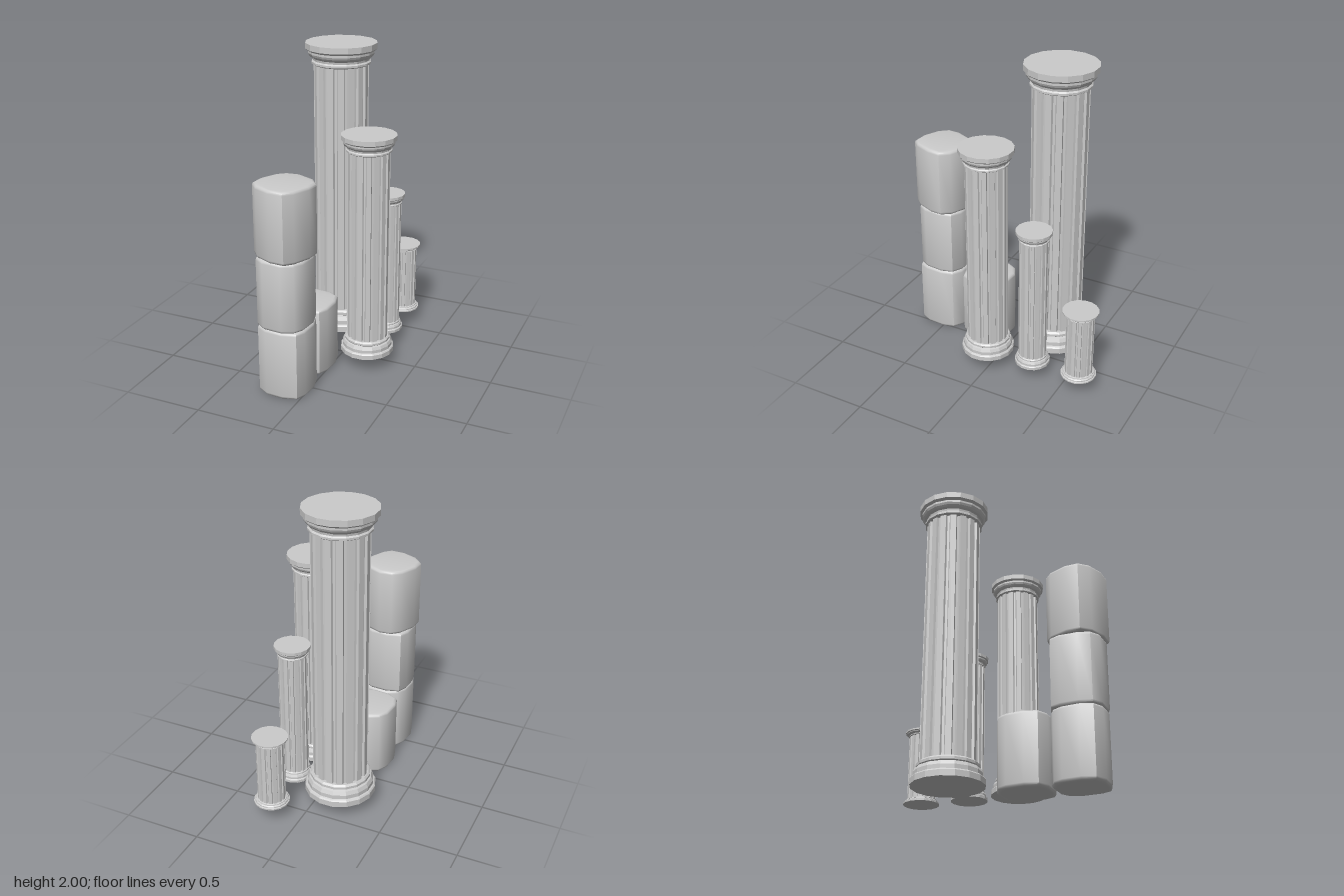
import * as THREE from 'three';
import { toCreasedNormals } from 'three/addons/utils/BufferGeometryUtils.js';

const SIDES = 16;
const grey = () => new THREE.MeshStandardMaterial({ color: 0xcccccc });
const faceted = () => new THREE.MeshStandardMaterial({ color: 0xcccccc, flatShading: true });

// Moulding profiles: [radius fraction, height fraction], bottom to top
const BASE = [[0, 0], [1, 0], [1, 0.27], [0.97, 0.33], [0.93, 0.36], [0.93, 0.55], [0.88, 0.72],
  [0.82, 0.76], [0.85, 0.8], [0.85, 0.92], [0.8, 1], [0, 1]];
const CAPITAL = [[0, 0], [0.78, 0], [0.83, 0.05], [0.83, 0.14], [0.79, 0.2], [0.8, 0.3], [0.86, 0.36],
  [0.9, 0.44], [0.93, 0.54], [0.93, 0.64], [0.97, 0.69], [1, 0.73], [1, 1], [0, 1]];

function moulding(name, profile, radius, height, y) {
  const r = radius / Math.cos(Math.PI / SIDES);
  const pts = profile.map(([a, b]) => new THREE.Vector2(a * r, b * height));
  const geo = new THREE.LatheGeometry(pts, SIDES, Math.PI / SIDES);
  const mesh = new THREE.Mesh(geo, faceted());
  mesh.name = name;
  mesh.position.y = y;
  return mesh;
}

// Shaft with flat ridges and sunken flutes
function flutedShaft(radius, height, y) {
  const pts = [];
  const step = (Math.PI * 2) / SIDES;
  for (let i = 0; i < SIDES; i++) {
    for (const [t, k] of [[-0.28, 1], [0.28, 1], [0.38, 0.92], [0.62, 0.92]]) {
      const a = (i + t) * step;
      pts.push(new THREE.Vector2(Math.cos(a) * radius * k, Math.sin(a) * radius * k));
    }
  }
  const geo = new THREE.ExtrudeGeometry(new THREE.Shape(pts), { depth: height, bevelEnabled: false });
  geo.rotateX(-Math.PI / 2);
  const mesh = new THREE.Mesh(geo, faceted());
  mesh.name = 'flutedShaft';
  mesh.position.y = y;
  return mesh;
}

function column({ name, x, z, bottom, top, radius, shaft, base, capital }) {
  const g = new THREE.Group();
  g.name = name;
  g.position.set(x, 0, z);
  g.add(
    moulding('base', BASE, radius, base, bottom),
    flutedShaft(shaft, top - bottom - base - capital + 0.01, bottom + base - 0.005),
    moulding('capital', CAPITAL, radius, capital, top - capital),
  );
  return g;
}

// Worn block: irregular rounded-square plan with softened rims
const PLAN = [[-0.043, -0.165], [0.08, -0.156], [0.139, -0.115], [0.16, -0.038], [0.153, 0.075],
  [0.126, 0.135], [0.036, 0.162], [-0.07, 0.155], [-0.137, 0.117], [-0.16, 0.038],
  [-0.148, -0.075], [-0.116, -0.13]];

function block(name, x, y, z, turn, scale = 1) {
  const rim = 0.02, height = 0.448;
  const shape = new THREE.Shape(PLAN.map(([a, b]) => new THREE.Vector2(a * scale, b * scale)));
  let geo = new THREE.ExtrudeGeometry(shape, {
    depth: height - 2 * rim, bevelThickness: rim, bevelSize: rim, bevelOffset: -rim, bevelSegments: 3,
  });
  geo.rotateX(Math.PI / 2);
  geo.translate(0, height - rim, 0);
  geo = toCreasedNormals(geo, 0.7);
  const mesh = new THREE.Mesh(geo, grey());
  mesh.name = name;
  mesh.position.set(x, y, z);
  mesh.rotation.y = turn;
  return mesh;
}

export function createModel() {
  const model = new THREE.Group();
  model.name = 'ruinedColumns';

  // Four columns of falling height
  const columns = [
    { name: 'tallColumn', x: -0.137, z: -0.28, bottom: 0.1, top: 2, radius: 0.222, shaft: 0.173, base: 0.137, capital: 0.137 },
    { name: 'mediumColumn', x: 0.188, z: 0.046, bottom: 0.1, top: 1.53, radius: 0.167, shaft: 0.13, base: 0.105, capital: 0.105 },
    { name: 'shortColumn', x: 0.188, z: -0.277, bottom: 0.1, top: 1.055, radius: 0.111, shaft: 0.09, base: 0.066, capital: 0.068 },
    { name: 'stubColumn', x: 0.188, z: -0.6, bottom: 0.11, top: 0.583, radius: 0.111, shaft: 0.088, base: 0.031, capital: 0.034 },
  ];
  columns.forEach((c) => model.add(column(c)));

  // Stack of three blocks with a single one behind it
  const stack = new THREE.Group();
  stack.name = 'blockStack';
  [0, Math.PI, -0.35].forEach((turn, i) => {
    stack.add(block('stackedBlock', -0.135, 0.005 + i * 0.4425, 0.535, turn, i === 2 ? 1.03 : 1));
  });
  model.add(stack, block('singleBlock', -0.138, 0.005, 0.208, 0));
  return model;
}
